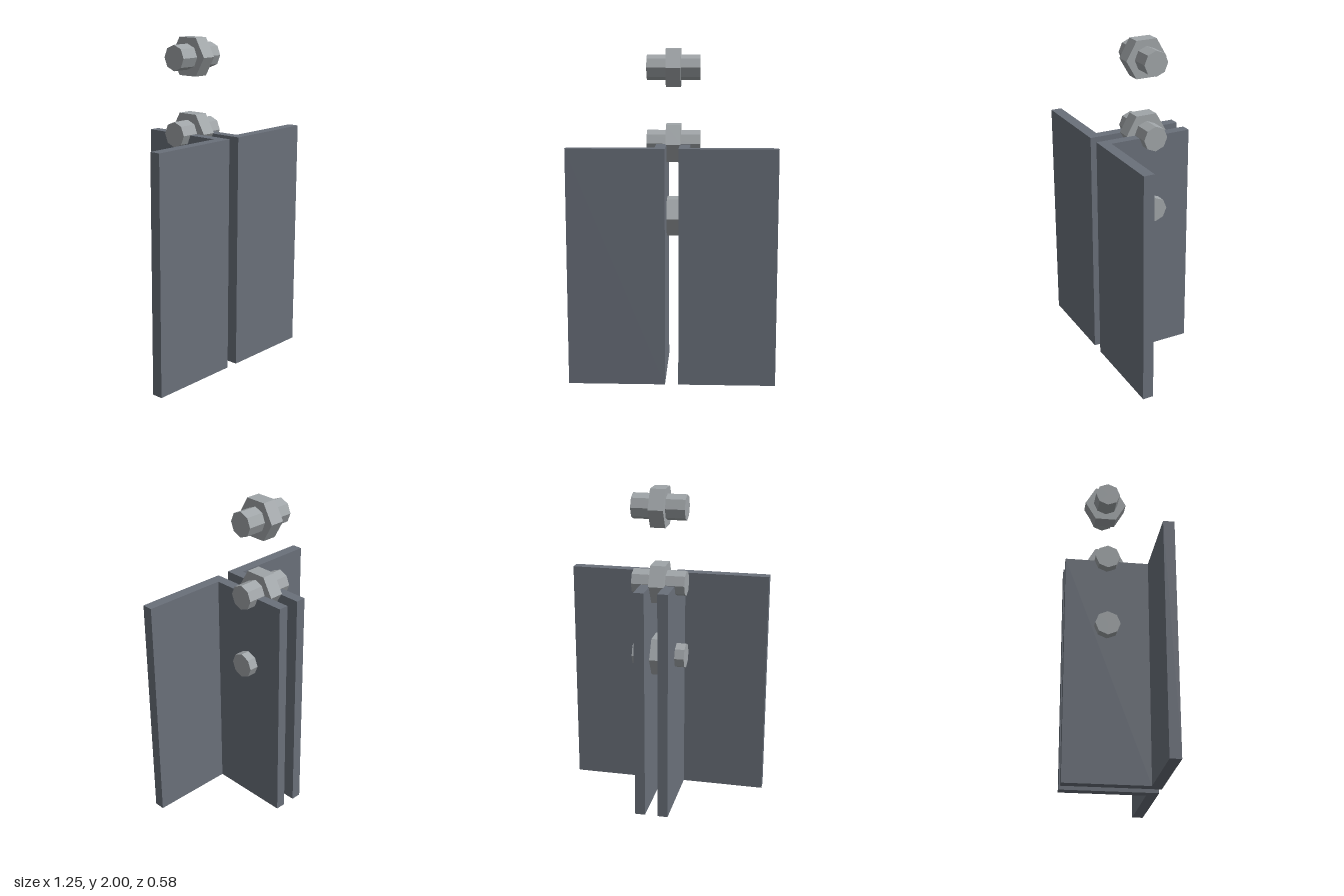
import * as THREE from 'three';

const HEIGHT = 1.43;
const BOLT_Z = -0.035;

export function createModel() {
  const model = new THREE.Group();
  model.name = 'boltedAngles';

  const darkSteel = new THREE.MeshStandardMaterial({ color: 0x6a707a });
  darkSteel.name = 'darkSteel';
  const zinc = new THREE.MeshStandardMaterial({ color: 0xa0a5a8 });
  zinc.name = 'zinc';

  // Upright L-section angles, mirrored about x = 0
  const profile = [[0.04, 0.292], [0.623, 0.292], [0.623, 0.225], [0.103, 0.225], [0.103, -0.292], [0.04, -0.292]];
  for (const side of [1, -1]) {
    const shape = new THREE.Shape(profile.map(([x, z]) => new THREE.Vector2(side * x, -z)));
    const geometry = new THREE.ExtrudeGeometry(shape, { depth: HEIGHT, bevelEnabled: false });
    geometry.rotateX(-Math.PI / 2);
    const angle = new THREE.Mesh(geometry, darkSteel);
    angle.name = side > 0 ? 'leftAngle' : 'rightAngle';
    model.add(angle);
  }

  // Prism lying along x, with corners pointing to front and back
  const prism = (name, radius, length, sides) => {
    const geometry = new THREE.CylinderGeometry(radius, radius, length, sides).toNonIndexed();
    geometry.rotateZ(Math.PI / 2);
    geometry.computeVertexNormals();
    const mesh = new THREE.Mesh(geometry, zinc);
    mesh.name = name;
    return mesh;
  };

  // Three bolts, each an octagonal shank through a hexagonal nut
  [0.978, 1.433, 1.887].forEach((y, i) => {
    const bolt = new THREE.Group();
    bolt.name = `bolt${i + 1}`;
    bolt.add(prism('shank', 0.077, 0.323, 8), prism('nut', 0.131, 0.09, 6));
    bolt.position.set(0, y, BOLT_Z);
    model.add(bolt);
  });

  return model;
}
